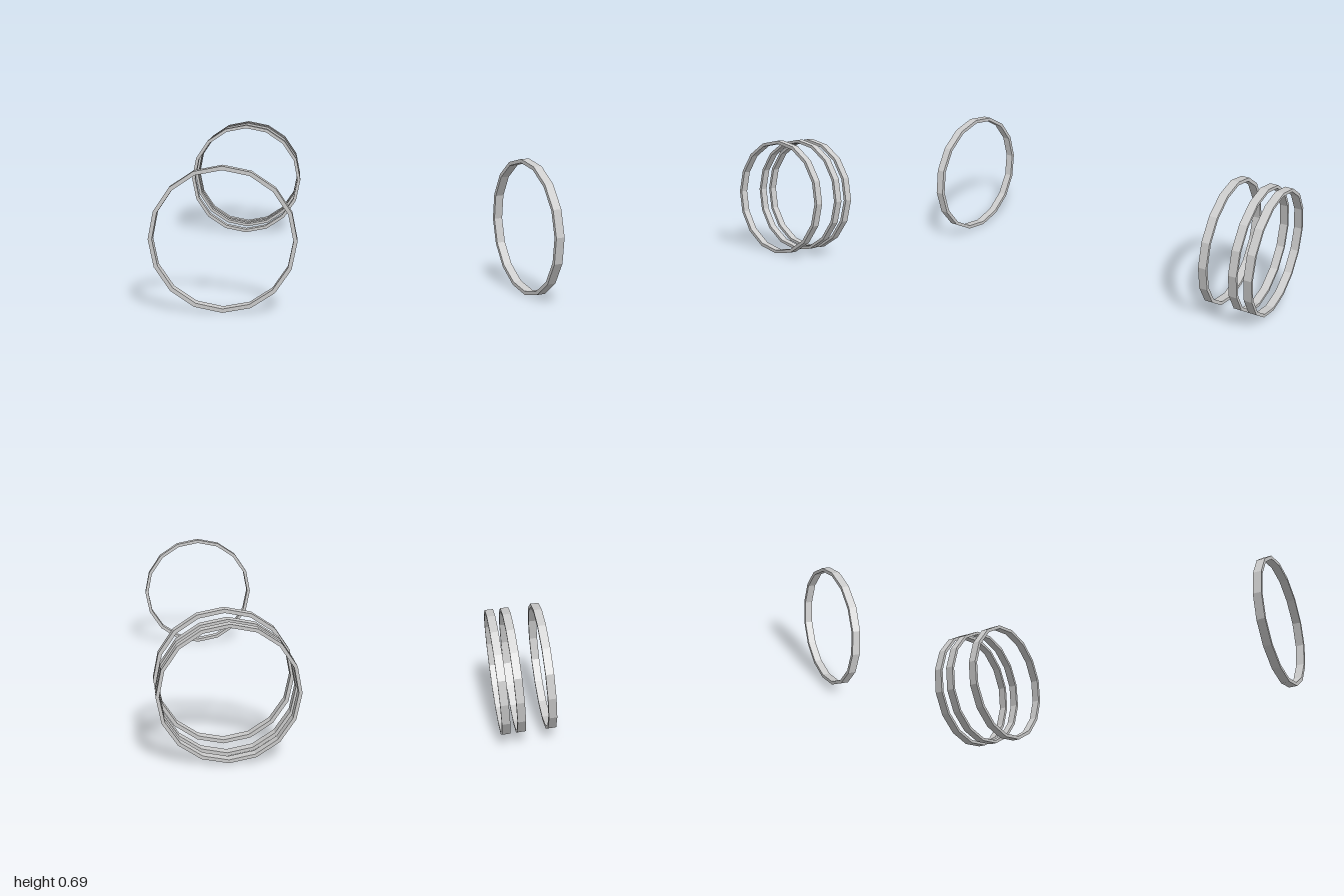
import * as THREE from 'three';

const SIDES = 16;
const CENTER_Y = 0.348;

// Faceted hoop of rectangular section, its axis along z
function hoop(name, outer, inner, z, width, material) {
  const h = width / 2;
  const profile = [[outer, -h], [outer, h], [inner, h], [inner, -h], [outer, -h]]
    .map(([r, y]) => new THREE.Vector2(r, y));
  const geometry = new THREE.LatheGeometry(profile, SIDES).toNonIndexed();
  geometry.computeVertexNormals();
  geometry.rotateX(Math.PI / 2);
  const mesh = new THREE.Mesh(geometry, material);
  mesh.name = name;
  mesh.position.set(0, CENTER_Y, z);
  return mesh;
}

export function createModel() {
  const model = new THREE.Group();
  model.name = 'hoops';
  const metal = new THREE.MeshStandardMaterial({ color: 0xcccccc });
  metal.name = 'light grey metal';

  // One hoop at the front, three grouped toward the back
  model.add(
    hoop('frontHoop', 0.347, 0.328, 0.978, 0.044, metal),
    hoop('middleHoop', 0.347, 0.328, -0.733, 0.044, metal),
    hoop('rearHoop', 0.343, 0.326, -0.896, 0.044, metal),
    hoop('endHoop', 0.343, 0.326, -0.978, 0.044, metal),
  );
  return model;
}
